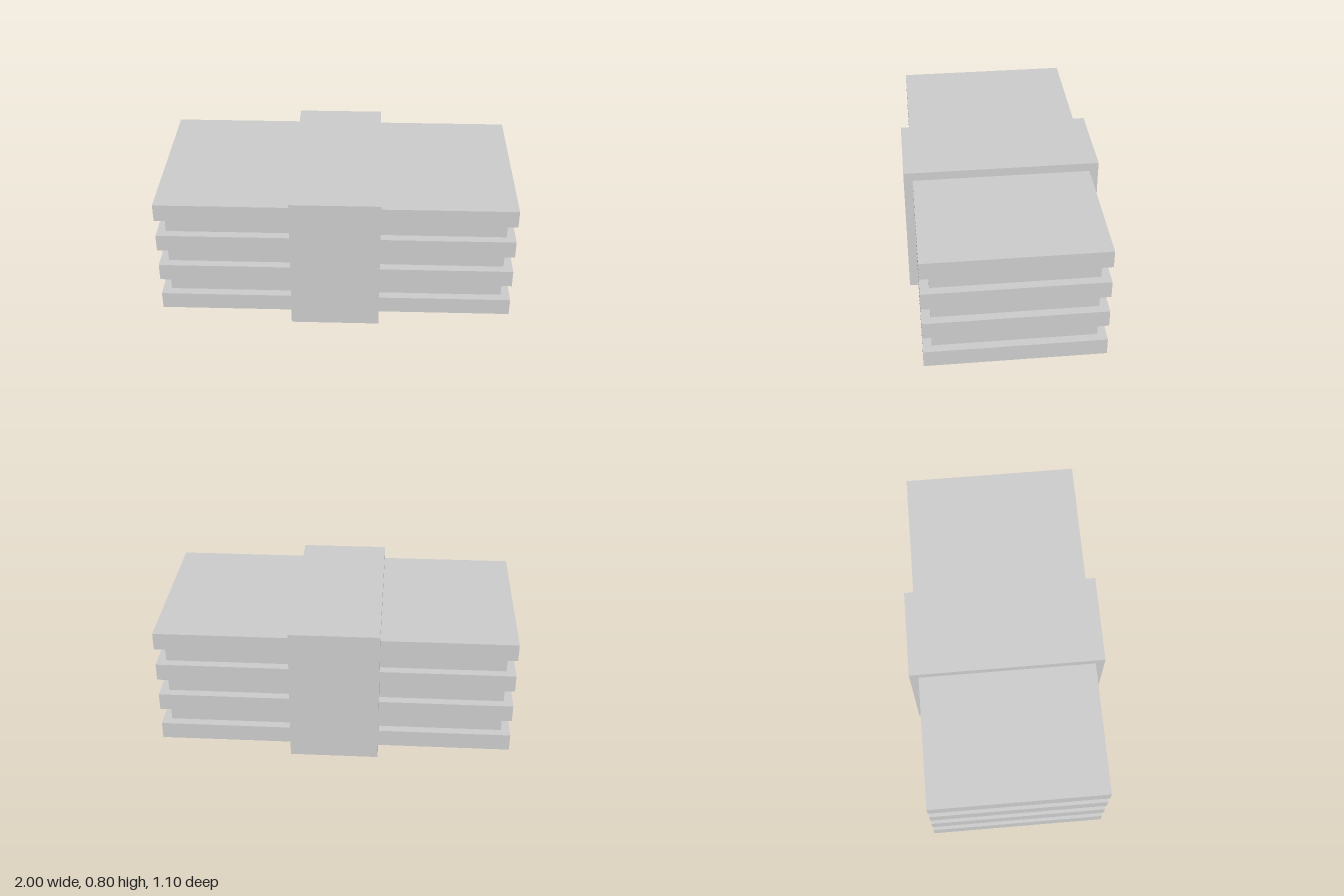
import * as THREE from 'three';

const LAYER = 0.1; // thickness of every layer in the stack

export function createModel() {
  const model = new THREE.Group();
  model.name = 'bandedStack';
  const material = new THREE.MeshStandardMaterial({ color: 0xcccccc, flatShading: true });

  const addBox = (name, width, height, depth, y) => {
    const mesh = new THREE.Mesh(new THREE.BoxGeometry(width, height, depth), material);
    mesh.name = name;
    mesh.position.y = y;
    model.add(mesh);
  };

  // Stack: four wide slabs alternating with three recessed layers
  for (let i = 0; i < 7; i++) {
    const y = LAYER * (i + 1);
    if (i % 2 === 0) addBox(`slab${i / 2 + 1}`, 2, LAYER, 1, y);
    else addBox(`recessedLayer${(i + 1) / 2}`, 1.9, LAYER, 0.9, y);
  }

  // Band wrapped around the middle of the stack
  addBox('band', 0.5, 0.8, 1.1, 0.4);

  return model;
}
